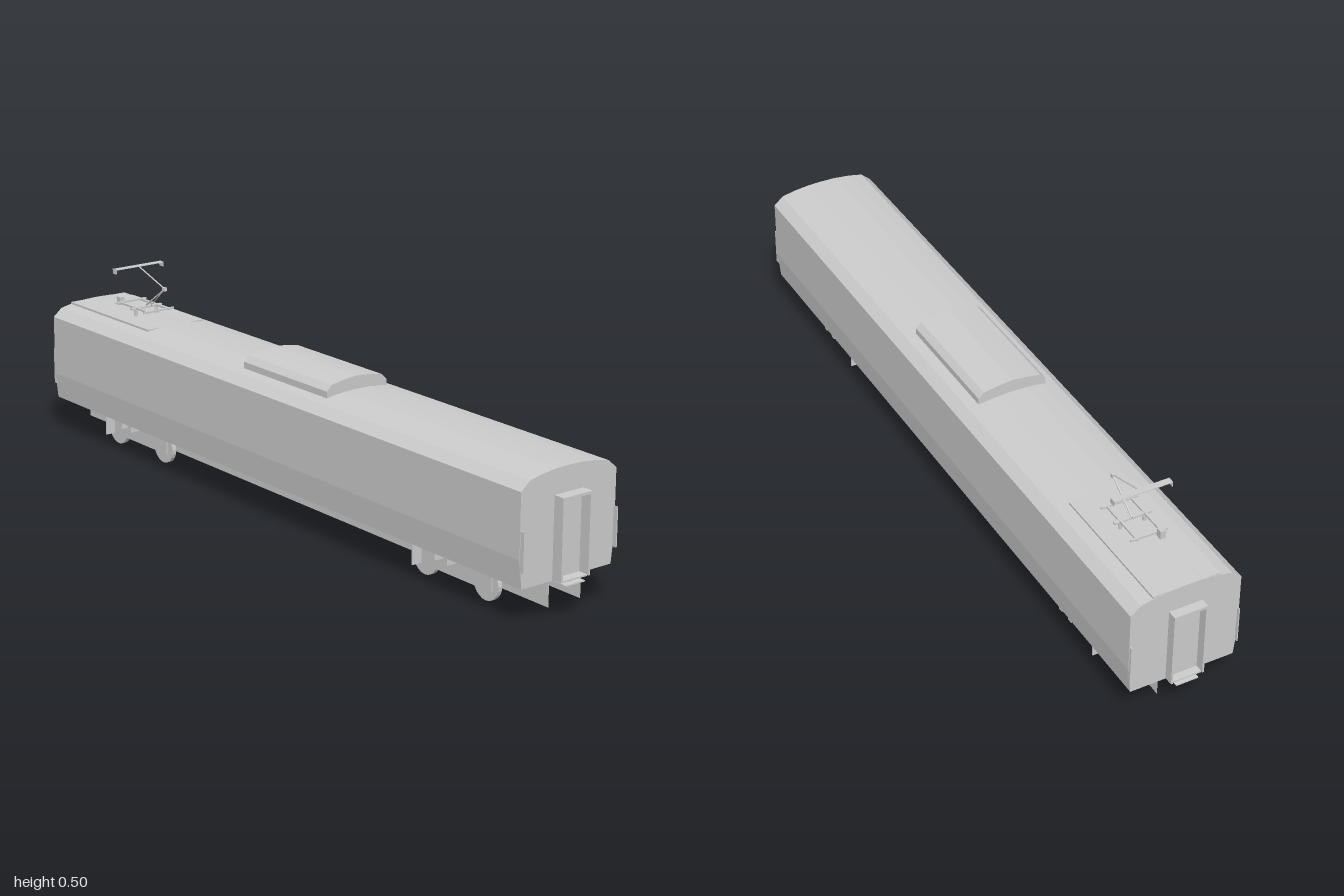
import * as THREE from 'three';

const mat = new THREE.MeshStandardMaterial({ color: 0xcccccc, side: THREE.DoubleSide, flatShading: true });

function add(parent, name, geometry, x = 0, y = 0, z = 0) {
  const mesh = new THREE.Mesh(geometry, mat);
  mesh.name = name;
  mesh.position.set(x, y, z);
  parent.add(mesh);
  return mesh;
}

// Box given by its limits on each axis
function block(parent, name, [x0, x1], [y0, y1], [z0, z1]) {
  return add(parent, name, new THREE.BoxGeometry(x1 - x0, y1 - y0, z1 - z0),
    (x0 + x1) / 2, (y0 + y1) / 2, (z0 + z1) / 2);
}

// Extrudes a mirrored half profile (bottom to top, right half) along z
function hull(parent, name, half, z0, z1) {
  const left = half.filter(p => p[0] > 0).reverse().map(([x, y]) => [-x, y]);
  const shape = new THREE.Shape([...half, ...left].map(p => new THREE.Vector2(...p)));
  return add(parent, name, new THREE.ExtrudeGeometry(shape, { depth: z1 - z0, bevelEnabled: false }), 0, 0, z0);
}

// Thin rod between two points
function rod(parent, name, a, b, r = 0.002) {
  const p = new THREE.Vector3(...a), q = new THREE.Vector3(...b);
  const mesh = add(parent, name, new THREE.CylinderGeometry(r, r, p.distanceTo(q), 6));
  mesh.position.copy(p).lerp(q, 0.5);
  mesh.quaternion.setFromUnitVectors(new THREE.Vector3(0, 1, 0), q.sub(p).normalize());
}

// Gangway frame, sill and corner rails, built for the +z end
function makeEnd() {
  const g = new THREE.Group();
  for (const s of [-1, 1]) {
    add(g, 'gangwayPost', new THREE.BoxGeometry(0.005, 0.205, 0.03), s * 0.0425, 0.2025, 0.985);
    add(g, 'cornerRail', new THREE.BoxGeometry(0.003, 0.1, 0.012), s * 0.145, 0.19, 0.976);
  }
  block(g, 'gangwayTop', [-0.045, 0.045], [0.298, 0.305], [0.97, 1]);
  block(g, 'gangwaySill', [-0.04, 0.04], [0.098, 0.102], [0.97, 0.996]);
  block(g, 'couplerPlate', [-0.03, 0.03], [0.088, 0.091], [0.96, 1]);
  block(g, 'couplerWeb', [-0.002, 0.002], [0.088, 0.1], [0.96, 0.985]);
  return g;
}

// Bogie with four wheels, side frames, springs and hanging posts
function makeBogie() {
  const g = new THREE.Group();
  for (const s of [-1, 1]) {
    for (const z of [-0.11, 0.11]) {
      const wheel = add(g, 'wheel', new THREE.CylinderGeometry(0.044, 0.044, 0.012, 24), s * 0.071, 0.044, z);
      wheel.rotation.z = Math.PI / 2;
    }
    add(g, 'sideFrame', new THREE.BoxGeometry(0.003, 0.052, 0.29), s * 0.089, 0.059, 0);
    add(g, 'hangingPost', new THREE.BoxGeometry(0.03, 0.066, 0.004), s * 0.103, 0.066, -0.11);
    add(g, 'spring', new THREE.BoxGeometry(0.06, 0.023, 0.014), s * 0.1, 0.0865, 0.025);
    add(g, 'damper', new THREE.BoxGeometry(0.06, 0.023, 0.014), s * 0.1, 0.0865, -0.02);
  }
  return g;
}

function makePantograph() {
  const g = new THREE.Group();
  // Base frame
  for (const z of [-0.67, -0.805]) block(g, 'baseCrossBar', [-0.05, 0.05], [0.389, 0.394], [z - 0.003, z + 0.003]);
  for (const x of [-0.033, 0.033]) {
    block(g, 'baseLongBar', [x - 0.003, x + 0.003], [0.388, 0.393], [-0.81, -0.665]);
    add(g, 'insulator', new THREE.CylinderGeometry(0.005, 0.005, 0.028, 8), x, 0.378, -0.73);
  }
  block(g, 'baseCentreBar', [-0.05, 0.05], [0.387, 0.392], [-0.735, -0.725]);
  block(g, 'actuator', [-0.034, -0.019], [0.383, 0.405], [-0.825, -0.808]);
  // Folding arms
  rod(g, 'lowerArm', [0.004, 0.393, -0.735], [0.004, 0.456, -0.643], 0.0025);
  rod(g, 'controlRod', [0.004, 0.393, -0.715], [0.004, 0.45, -0.65], 0.0012);
  rod(g, 'upperArm', [0.004, 0.456, -0.643], [0.004, 0.495, -0.765]);
  add(g, 'knee', new THREE.BoxGeometry(0.01, 0.01, 0.008), 0.004, 0.455, -0.645);
  // Collector head
  block(g, 'collectorStrip', [-0.075, 0.08], [0.497, 0.499], [-0.778, -0.76]);
  for (const x of [-0.075, 0.08]) block(g, 'collectorEnd', [x - 0.001, x + 0.001], [0.486, 0.5], [-0.778, -0.76]);
  return g;
}

export function createModel() {
  const root = new THREE.Group();
  root.name = 'railCar';

  // Car body and roof pod
  hull(root, 'carBody', [[0.14, 0.098], [0.148, 0.17], [0.148, 0.333], [0.122, 0.355],
    [0.085, 0.363], [0.04, 0.368], [0, 0.369]], -0.975, 0.97);
  hull(root, 'roofPod', [[0.095, 0.355], [0.095, 0.378], [0.08, 0.393], [0.04, 0.4], [0, 0.404]], -0.145, 0.2);
  block(root, 'roofPanel', [-0.09, 0.09], [0.358, 0.3675], [-0.974, -0.59]);

  // Long underfloor skirts
  for (const x of [-0.05, 0.05]) block(root, 'skirt', [x - 0.0005, x + 0.0005], [0.032, 0.1], [-0.95, 0.965]);

  // Both ends
  for (const turn of [0, Math.PI]) {
    const end = makeEnd();
    end.name = turn ? 'rearEnd' : 'frontEnd';
    end.rotation.y = turn;
    root.add(end);
  }

  // Bogies
  for (const [name, z] of [['frontBogie', 0.67], ['rearBogie', -0.655]]) {
    const bogie = makeBogie();
    bogie.name = name;
    bogie.position.z = z;
    root.add(bogie);
  }
  block(root, 'underfloorBox', [-0.082, -0.012], [0.057, 0.082], [0.53, 0.555]);

  const pantograph = makePantograph();
  pantograph.name = 'pantograph';
  root.add(pantograph);
  return root;
}
